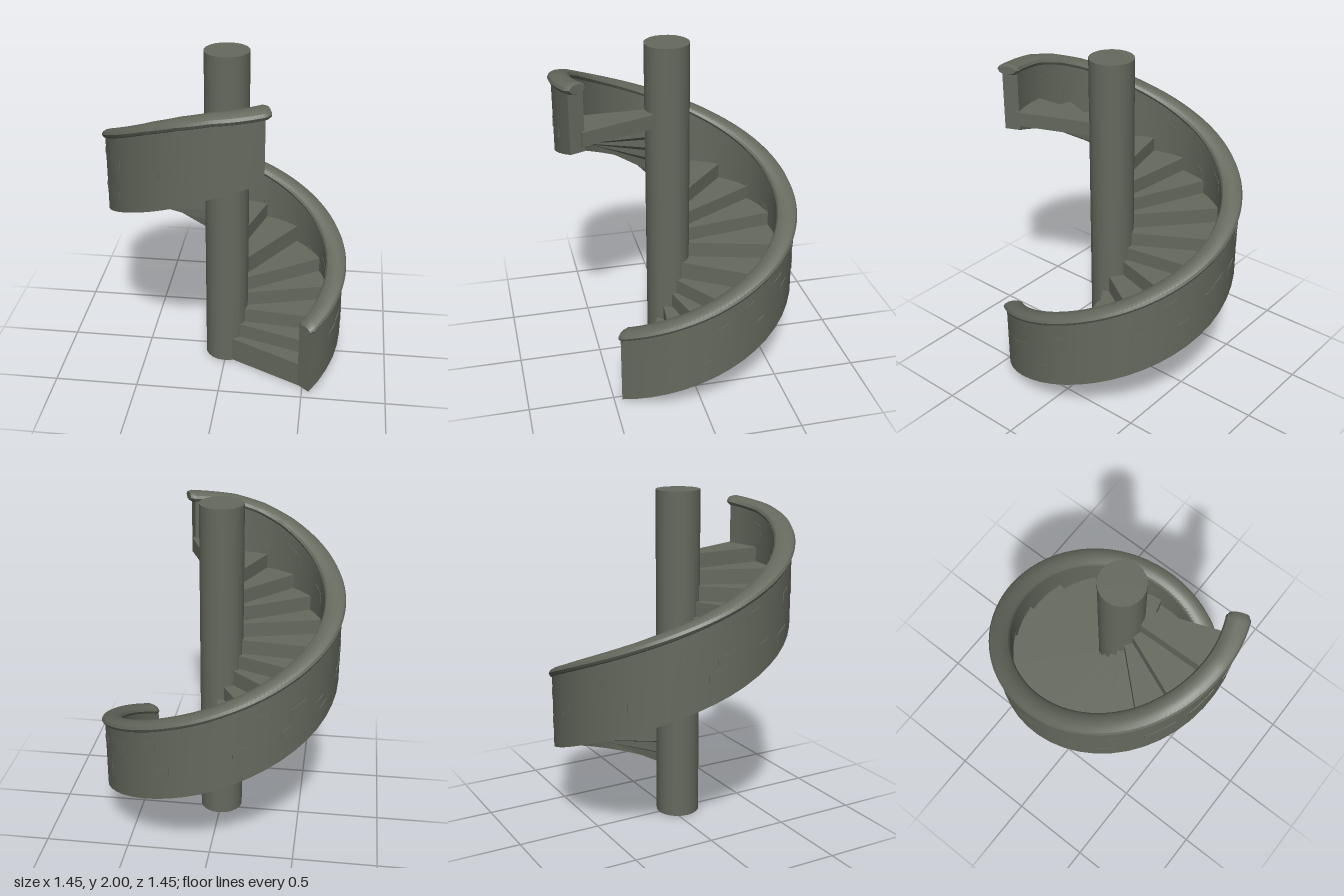
import * as THREE from 'three';
import { toCreasedNormals } from 'three/addons/utils/BufferGeometryUtils.js';

const START = 50, END = 384;           // helix angles in degrees, 0 = front, 90 = +x
const COLUMN_Z = 0.055, COLUMN_R = 0.131;

// point at polar angle (degrees), radius, height
function polar(deg, r, y, z0 = 0) {
  const a = THREE.MathUtils.degToRad(deg);
  return new THREE.Vector3(r * Math.sin(a), y, r * Math.cos(a) + z0);
}

// piecewise linear height between [position, height] keys
function heightAt(keys, t) {
  let i = 0;
  while (i < keys.length - 2 && t > keys[i + 1][0]) i++;
  const [a, ya] = keys[i], [b, yb] = keys[i + 1];
  return ya + (yb - ya) * (t - a) / (b - a);
}
const railY = (d) => heightAt([[50, 0.445], [90, 0.62], [180, 1.02], [270, 1.44], [330, 1.735], [345, 1.795], [360, 1.837], [385, 1.87]], d);
const wallY = (d) => heightAt([[50, 0.01], [90, 0.175], [180, 0.55], [270, 0.965], [360, 1.405], [385, 1.5]], d);
const treadY = (i) => heightAt([[0, 0.16], [4, 0.525], [5, 0.635], [6, 0.73], [8, 0.9], [9, 0.995], [10, 1.08], [16, 1.61]], i);

// skin a row of convex cross-sections and cap both ends
function loft(sections, crease = 0.6) {
  const pos = [];
  const tri = (...pts) => pts.forEach((p) => pos.push(p.x, p.y, p.z));
  const n = sections[0].length;
  for (let s = 0; s < sections.length - 1; s++) {
    for (let j = 0; j < n; j++) {
      const k = (j + 1) % n, A = sections[s], B = sections[s + 1];
      tri(A[j], B[j], B[k]);
      tri(A[j], B[k], A[k]);
    }
  }
  const first = sections[0], last = sections[sections.length - 1];
  for (let j = 1; j < n - 1; j++) {
    tri(first[0], first[j], first[j + 1]);
    tri(last[0], last[j + 1], last[j]);
  }
  const g = new THREE.BufferGeometry();
  g.setAttribute('position', new THREE.Float32BufferAttribute(pos, 3));
  return toCreasedNormals(g, crease);
}

// sweep a section of [radius, height] pairs along the helix
function sweep(section, from, to, steps) {
  const rows = [];
  for (let i = 0; i <= steps; i++) {
    const d = from + (to - from) * i / steps;
    rows.push(section(d).map(([r, y]) => polar(d, r, y)));
  }
  return loft(rows);
}

export function createModel() {
  const model = new THREE.Group();
  const stone = new THREE.MeshStandardMaterial({ color: 0x65695d });
  stone.name = 'stone';
  const add = (name, geometry, parent = model) => {
    const mesh = new THREE.Mesh(geometry, stone);
    mesh.name = name;
    parent.add(mesh);
    return mesh;
  };

  // central column
  add('column', new THREE.CylinderGeometry(COLUMN_R, COLUMN_R, 2, 20)).position.set(0, 1, COLUMN_Z);

  // curved outer wall
  add('wall', sweep((d) => [
    [0.615, wallY(d)], [0.708, wallY(d)], [0.708, railY(d)], [0.615, railY(d)],
  ], START, END - 1.5, 44));

  // rounded coping on top of the wall, slightly tapered at its tips
  const rail = (d) => {
    const grow = d > 360 ? 1 + (d - 360) / 250 : 1;
    const tip = Math.min(1, 0.75 + 0.25 * Math.min(d - START + 1, END + 1 - d));
    return Array.from({ length: 12 }, (_, i) => {
      const t = i / 12 * Math.PI * 2;
      return [0.666 + 0.061 * grow * tip * Math.cos(t), railY(d) + 0.034 * tip * Math.sin(t)];
    });
  };
  add('handrail', sweep(rail, START - 1, END + 1, 168));

  // wedge treads: [outer angle, inner angle] of each front edge, last pair ends the flight
  const treads = new THREE.Group();
  treads.name = 'treads';
  model.add(treads);
  const edges = [
    [51, 10], [62, 40], [76, 62], [97, 85], [115, 98], [140, 115], [162, 160], [187, 172], [209, 190],
    [230, 220], [250, 240], [268, 257], [288, 279], [304, 297], [320, 315], [339, 336], [361, 360], [384, 410],
  ];
  const count = edges.length - 1;
  const edge = ([outer, inner], low, high) => [
    polar(inner, 0.11, low, COLUMN_Z), polar(outer, 0.64, low),
    polar(outer, 0.64, high), polar(inner, 0.11, high, COLUMN_Z),
  ];
  for (let i = 0; i < count; i++) {
    const top = treadY(i);
    const front = i === 0 ? 0.004 : top - 0.12;
    const back = top - (i < 13 ? 0.105 : 0.085);
    add('tread', loft([edge(edges[i], front, top), edge(edges[i + 1], back, top)], 0.3), treads);
  }

  // scattered raised stones on both faces of the wall
  const stones = new THREE.Group();
  stones.name = 'wallStones';
  model.add(stones);
  let seed = 7;
  const random = () => (seed = (seed * 16807) % 2147483647) / 2147483647;
  for (let i = 0; i < 44; i++) {
    const d = START + 6 + (END - START - 22) * (i + random() * 0.6) / 44;
    const f = 0.15 + 0.6 * random(), h = 0.04 + 0.02 * random(), w = 5 + 4 * random();
    const [r0, r1] = i % 3 ? [0.7, 0.711] : [0.612, 0.62];
    add('wallStone', sweep((a) => {
      const y = wallY(a) + f * (railY(a) - wallY(a));
      return [[r0, y], [r1, y], [r1, y + h], [r0, y + h]];
    }, d, d + w, 2), stones);
  }
  return model;
}
